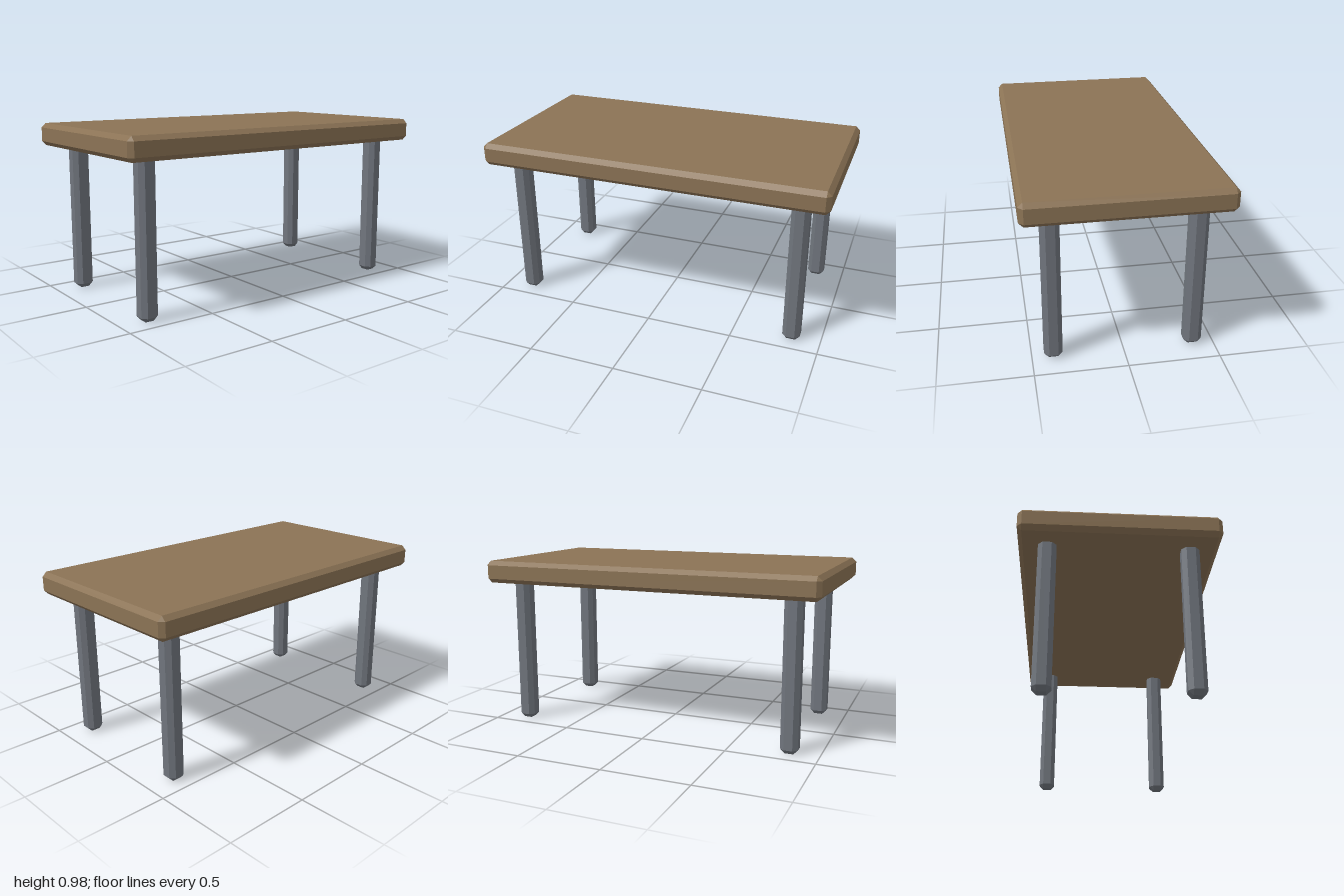
import * as THREE from 'three';
import { ConvexGeometry } from 'three/addons/geometries/ConvexGeometry.js';

// Box with every edge chamfered by b, centred on the origin
function chamferBox(w, h, d, b) {
  const points = [];
  for (const sx of [-1, 1]) for (const sy of [-1, 1]) for (const sz of [-1, 1]) {
    for (let axis = 0; axis < 3; axis++) {
      // on each corner, one point lies on each of the three outer faces
      const inset = [b, b, b];
      inset[axis] = 0;
      points.push(new THREE.Vector3(
        sx * (w / 2 - inset[0]), sy * (h / 2 - inset[1]), sz * (d / 2 - inset[2])));
    }
  }
  return new ConvexGeometry(points);
}

export function createModel() {
  const table = new THREE.Group();
  table.name = 'table';
  const wood = new THREE.MeshStandardMaterial({ color: 0x8b7355, flatShading: true });
  const metal = new THREE.MeshStandardMaterial({ color: 0x70757d, flatShading: true });
  const bevel = 0.025;

  // Tabletop slab
  const top = new THREE.Mesh(chamferBox(2, 0.13, 1.083, bevel), wood);
  top.name = 'tabletop';
  top.position.y = 0.919;
  table.add(top);

  // Four legs, their upper ends set into the slab
  const legHeight = 0.89;
  const legGeometry = chamferBox(0.099, legHeight, 0.099, bevel);
  for (const [end, z] of [['front', 0.384], ['back', -0.384]]) {
    for (const [side, x] of [['Left', 0.834], ['Right', -0.834]]) {
      const leg = new THREE.Mesh(legGeometry, metal);
      leg.name = `${end}${side}Leg`;
      leg.position.set(x, legHeight / 2, z);
      table.add(leg);
    }
  }
  return table;
}
